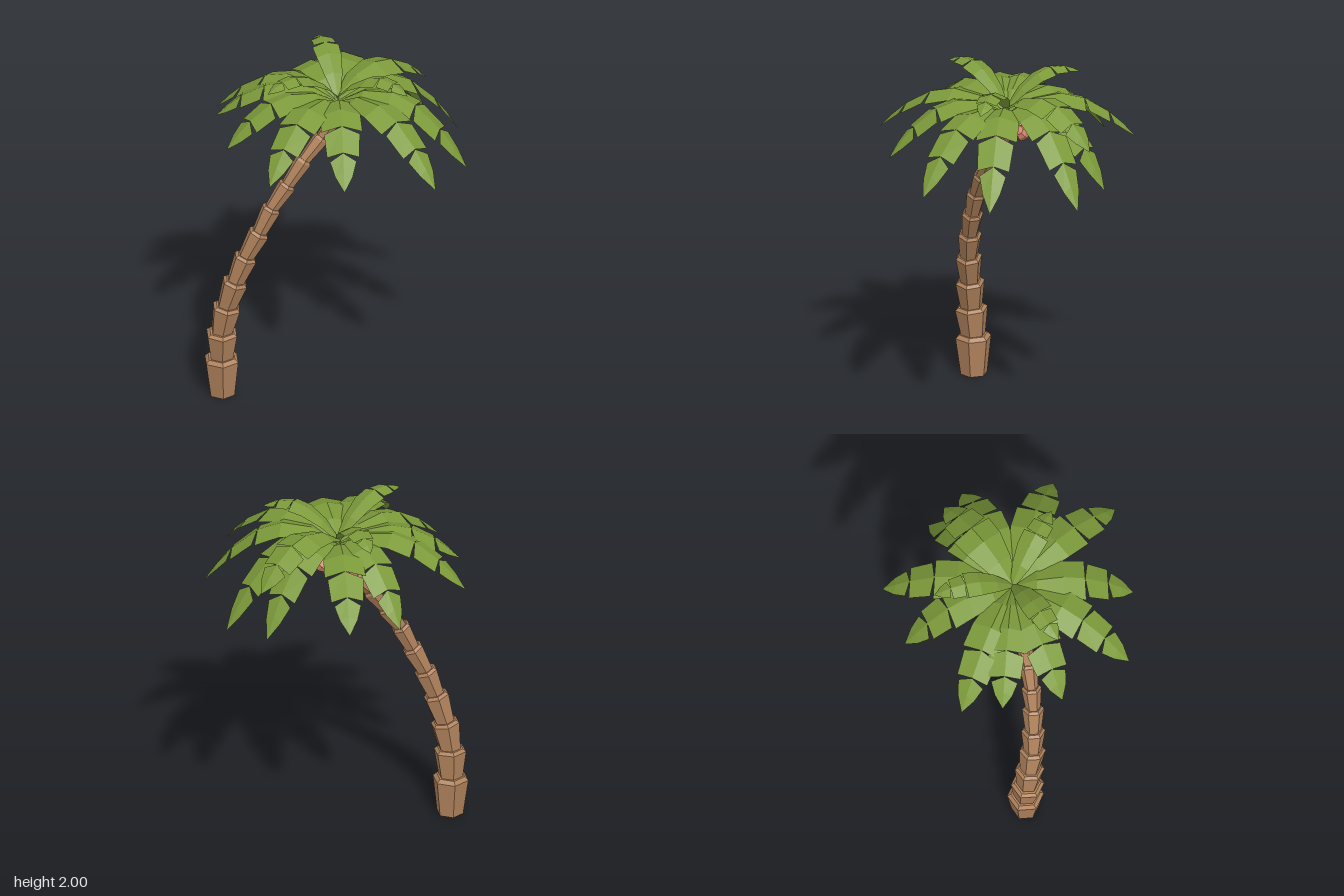
import * as THREE from 'three';

const bark = new THREE.MeshStandardMaterial({ color: 0xb0825c, flatShading: true });
const green = new THREE.MeshStandardMaterial({ color: 0x7c9a3a, flatShading: true, side: THREE.DoubleSide });
const nut = new THREE.MeshStandardMaterial({ color: 0xd07f68, flatShading: true });

// Trunk joints: x, y, z, rim radius of the segment that ends there
const joints = [
  [-0.57, 0, -0.37, 0], [-0.575, 0.22, -0.37, 0.1], [-0.58, 0.385, -0.36, 0.091],
  [-0.565, 0.55, -0.335, 0.081], [-0.535, 0.715, -0.295, 0.073], [-0.49, 0.87, -0.26, 0.066],
  [-0.43, 1.02, -0.22, 0.06], [-0.37, 1.165, -0.19, 0.055], [-0.29, 1.3, -0.155, 0.051],
  [-0.2, 1.435, -0.13, 0.048], [-0.1, 1.55, -0.11, 0.045], [-0.03, 1.66, -0.085, 0.042],
  [0, 1.76, -0.07, 0.036],
];

// One flared hexagonal segment with a bevelled rim
function trunkSegment(a, b, r) {
  const dir = b.clone().sub(a);
  const len = dir.length();
  const profile = [[0, 0], [r * 0.74, 0], [r, len * 0.95], [r * 0.8, len * 1.04], [0, len * 1.04]]
    .map(([x, y]) => new THREE.Vector2(x, y));
  const mesh = new THREE.Mesh(new THREE.LatheGeometry(profile, 6).rotateY(Math.PI / 6), bark);
  mesh.position.copy(a);
  mesh.quaternion.setFromUnitVectors(new THREE.Vector3(0, 1, 0), dir.normalize());
  mesh.name = 'trunkSegment';
  return mesh;
}

// Frond sections: rows of [ridge position, edge position, half width];
// separate sections leave a notch at the edges
const sections = [
  [[0, 0, 0.025], [0.2, 0.2, 0.08], [0.42, 0.42, 0.112], [0.6, 0.6, 0.118]],
  [[0.6, 0.625, 0.102], [0.79, 0.79, 0.092]],
  [[0.79, 0.82, 0.076], [0.9, 0.91, 0.05], [1, 1, 0]],
];

// An arched frond, folded along its ridge
function frond(start, tip, arch, width) {
  const out = new THREE.Vector3(tip.x - start.x, 0, tip.z - start.z).normalize();
  const side = new THREE.Vector3(out.z, 0, -out.x);
  const at = (t) => {
    const p = start.clone().lerp(tip, t);
    p.y += 4 * arch * t * (1 - t);
    return p;
  };
  const pos = [];
  const index = [];
  for (const rows of sections) {
    const base = pos.length / 3;
    rows.forEach(([tr, te, w], i) => {
      for (const s of [-1, 0, 1]) {
        const p = at(s ? te : tr).addScaledVector(side, s * w * width);
        if (s) p.y -= w * width * 0.32;
        pos.push(p.x, p.y, p.z);
      }
      if (i === 0) return;
      for (let k = 0; k < 2; k++) {
        const a = base + (i - 1) * 3 + k;
        index.push(a, a + 3, a + 1, a + 1, a + 3, a + 4);
      }
    });
  }
  const g = new THREE.BufferGeometry();
  g.setAttribute('position', new THREE.Float32BufferAttribute(pos, 3));
  // Wind the faces upwards
  for (let i = 0; i < index.length; i += 3) [index[i + 1], index[i + 2]] = [index[i + 2], index[i + 1]];
  g.setIndex(index);
  if (upward(g) < 0) {
    for (let i = 0; i < index.length; i += 3) [index[i + 1], index[i + 2]] = [index[i + 2], index[i + 1]];
    g.setIndex(index);
  }
  g.computeVertexNormals();
  return new THREE.Mesh(g, green);
}

// Sign of the average face direction
function upward(g) {
  g.computeVertexNormals();
  const n = g.attributes.normal;
  let sum = 0;
  for (let i = 0; i < n.count; i++) sum += n.getY(i);
  return sum;
}

// Tips of the fronds: x, y, z
const lowerTips = [
  [-0.4, 1.58, -0.67], [0.11, 1.54, -0.69], [0.42, 1.6, -0.62], [0.62, 1.47, -0.18],
  [0.675, 1.44, 0.08], [0.43, 1.48, 0.51], [0.1, 1.53, 0.69], [-0.36, 1.57, 0.49],
  [-0.68, 1.59, 0.24], [-0.665, 1.62, -0.19], [-0.53, 1.65, -0.49],
];
const upperTips = [[-0.47, 1.95, -0.08], [0.13, 1.94, -0.48], [0.17, 1.92, 0.32]];

export function createModel() {
  const model = new THREE.Group();
  model.name = 'palmTree';

  const trunk = new THREE.Group();
  trunk.name = 'trunk';
  const points = joints.map(([x, y, z]) => new THREE.Vector3(x, y, z));
  for (let i = 1; i < points.length; i++) {
    trunk.add(trunkSegment(points[i - 1], points[i], joints[i][3]));
  }

  const crown = new THREE.Group();
  crown.name = 'crown';
  const addFrond = (name, y0, tip, arch, width) => {
    const mesh = frond(new THREE.Vector3(-0.02, y0, -0.07), new THREE.Vector3(...tip), arch, width);
    mesh.name = name;
    crown.add(mesh);
  };
  for (const tip of lowerTips) addFrond('lowerFrond', 1.77, tip, 0.18 + (1.6 - tip[1]) * 0.45, 0.95);
  addFrond('middleFrond', 1.8, [0.585, 1.71, -0.1], 0.17, 1);
  for (const tip of upperTips) addFrond('upperFrond', 1.8, tip, 0.115, 0.62);

  // Coconuts hanging under the crown
  const coconuts = new THREE.Group();
  coconuts.name = 'coconuts';
  for (const [x, y, z] of [[-0.07, 1.71, -0.05], [-0.02, 1.685, -0.01], [0.095, 1.69, -0.07], [0.04, 1.7, -0.13]]) {
    const mesh = new THREE.Mesh(new THREE.SphereGeometry(0.046, 7, 5), nut);
    mesh.position.set(x, y, z);
    mesh.rotation.set(0.5, x * 20, 0.4);
    mesh.name = 'coconut';
    coconuts.add(mesh);
  }

  model.add(trunk, crown, coconuts);
  return model;
}
